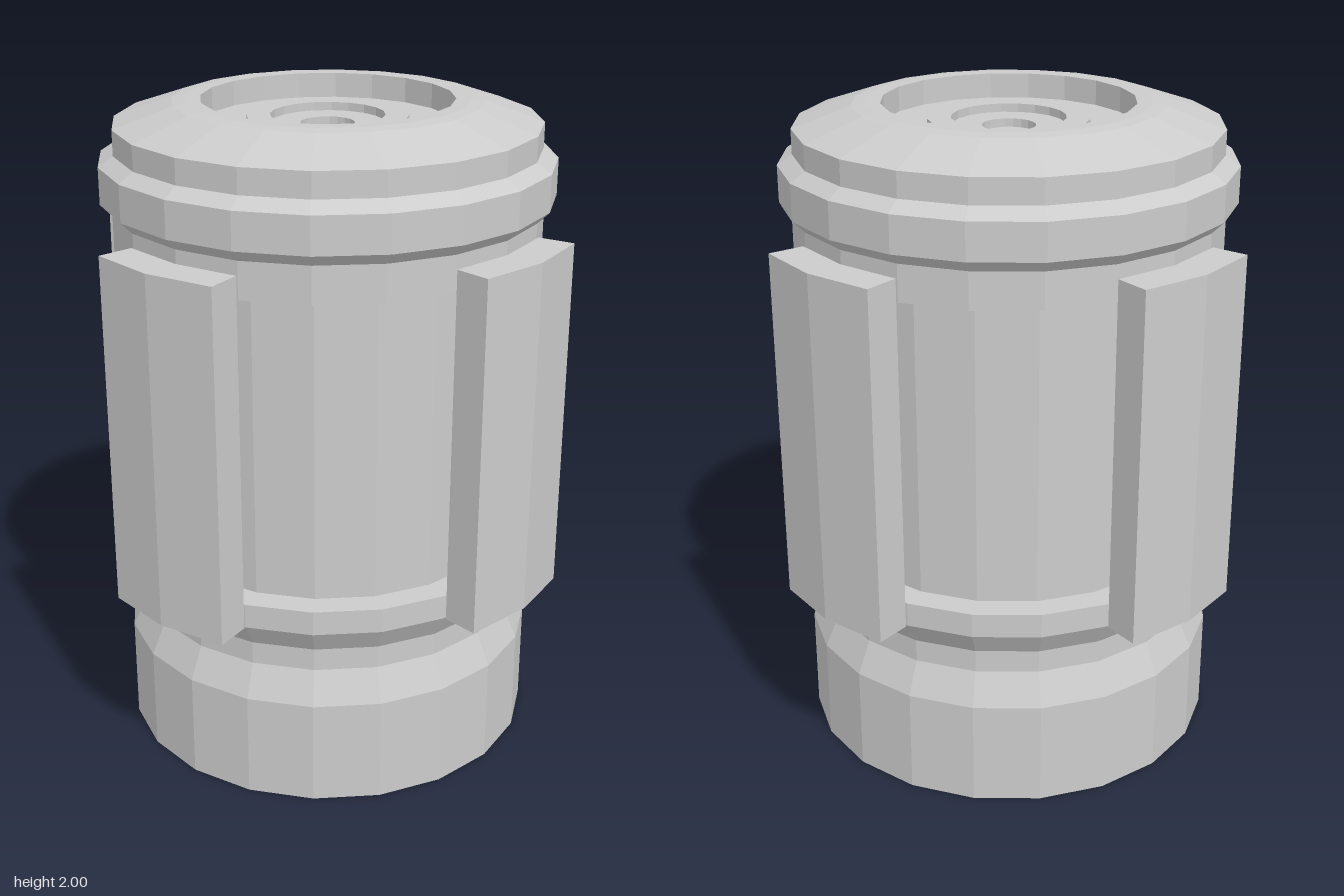
import * as THREE from 'three';

const SIDES = 20;

export function createModel() {
  const model = new THREE.Group();
  model.name = 'ribbedCanister';
  const material = new THREE.MeshStandardMaterial({ color: 0xcccccc, flatShading: true });

  const add = (name, geometry) => {
    const mesh = new THREE.Mesh(geometry, material);
    mesh.name = name;
    model.add(mesh);
    return mesh;
  };
  // Faceted ring from [radius, height] pairs, running up the outside
  const turned = (name, profile) =>
    add(name, new THREE.LatheGeometry(profile.map(([r, y]) => new THREE.Vector2(r, y)), SIDES));

  // Foot, pinched neck and lower collar
  turned('base', [
    [0, 0], [0.645, 0], [0.645, 0.325], [0.6, 0.425], [0.6, 0.495],
    [0.645, 0.57], [0.645, 0.645], [0.565, 0.645],
  ]);

  // Slim barrel between the collars
  turned('barrel', [[0.565, 0.645], [0.565, 1.575]]);

  // Upper collar, bulging rim, sloped shoulder and stepped recess in the top
  turned('cap', [
    [0.565, 1.575], [0.645, 1.575], [0.645, 1.685], [0.68, 1.72], [0.68, 1.83],
    [0.635, 1.86], [0.635, 1.935], [0.46, 1.995], [0.42, 2], [0.375, 2],
    [0.375, 1.925], [0.24, 1.925], [0.24, 1.95], [0.17, 1.95],
    [0.17, 1.925], [0.08, 1.925], [0.08, 1.9], [0, 1.9],
  ]);

  // Four bent grip plates bridging the collars
  const section = new THREE.Shape([
    [-0.2, 0.62], [0, 0.648], [0.2, 0.62], [0.215, 0.73], [0, 0.762], [-0.215, 0.73],
  ].map(([x, y]) => new THREE.Vector2(x, y)));
  const plate = new THREE.ExtrudeGeometry(section, { depth: 1.075, bevelEnabled: false });
  plate.rotateX(-Math.PI / 2);
  plate.translate(0, 0.57, 0);
  ['back', 'left', 'front', 'right'].forEach((side, i) => {
    add(side + 'GripPlate', plate).rotation.y = -i * Math.PI / 2;
  });

  return model;
}
